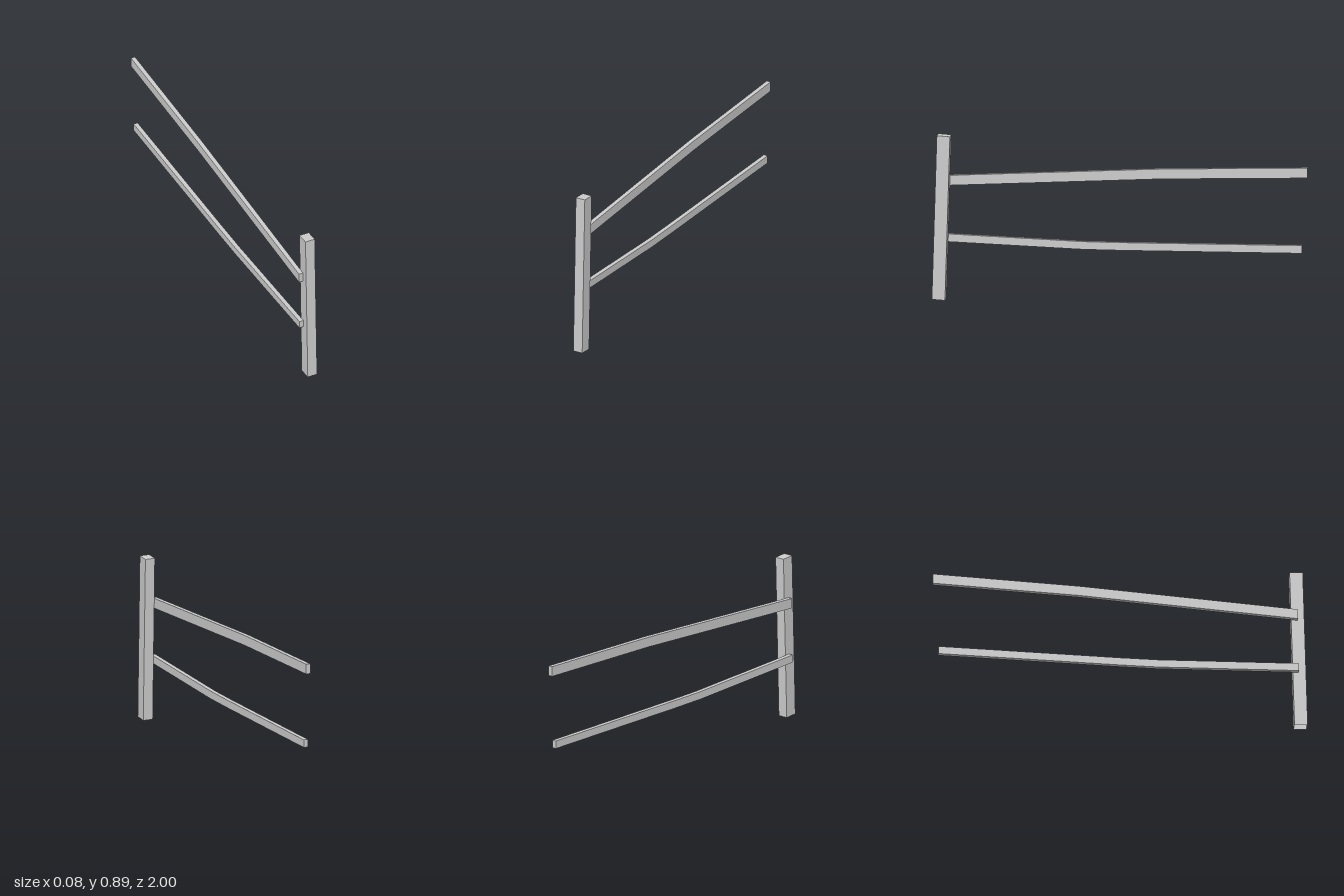
import * as THREE from 'three';

const material = new THREE.MeshStandardMaterial({ color: 0xcccccc, flatShading: true, side: THREE.DoubleSide });

// Extrudes a side profile of [z, y] points across x0..x1
function sideExtrude(name, points, x0, x1) {
  const shape = new THREE.Shape(points.map(([z, y]) => new THREE.Vector2(-z, y)));
  const geometry = new THREE.ExtrudeGeometry(shape, { depth: x1 - x0, bevelEnabled: false });
  geometry.rotateY(Math.PI / 2).translate(x0, 0, 0);
  const mesh = new THREE.Mesh(geometry, material);
  mesh.name = name;
  return mesh;
}

// Bent plank: a list of [z, bottomY, topY] stations
function rail(name, stations) {
  const bottom = stations.map(([z, b]) => [z, b]);
  const top = stations.map(([z, , t]) => [z, t]).reverse();
  return sideExtrude(name, [...bottom, ...top], -0.04, -0.016);
}

// Slightly leaning square post, open underneath
function leaningPost() {
  const geometry = new THREE.BoxGeometry(0.055, 1, 0.07);
  const p = geometry.attributes.position;
  for (let i = 0; i < p.count; i++) {
    const top = p.getY(i) > 0;
    const front = p.getZ(i) > 0;
    p.setX(i, p.getX(i) + 0.0115);
    p.setY(i, top ? (front ? 0.892 : 0.888) : (front ? 0.004 : 0));
    p.setZ(i, (top ? 0.9385 : 0.965) + (front ? 0.035 : -0.035));
  }
  // drop the underside face (fourth of the six box sides)
  const index = Array.from(geometry.index.array);
  index.splice(18, 6);
  geometry.setIndex(index);
  geometry.clearGroups();
  geometry.computeVertexNormals();
  const mesh = new THREE.Mesh(geometry, material);
  mesh.name = 'post';
  return mesh;
}

export function createModel() {
  const group = new THREE.Group();
  group.name = 'fenceSection';
  group.add(
    leaningPost(),
    rail('upperRail', [[0.945, 0.611, 0.665], [-0.22, 0.683, 0.737], [-1, 0.712, 0.766]]),
    rail('lowerRail', [[0.95, 0.308, 0.35], [0.2, 0.288, 0.33], [0, 0.289, 0.331], [-0.97, 0.303, 0.345]]),
  );
  return group;
}
